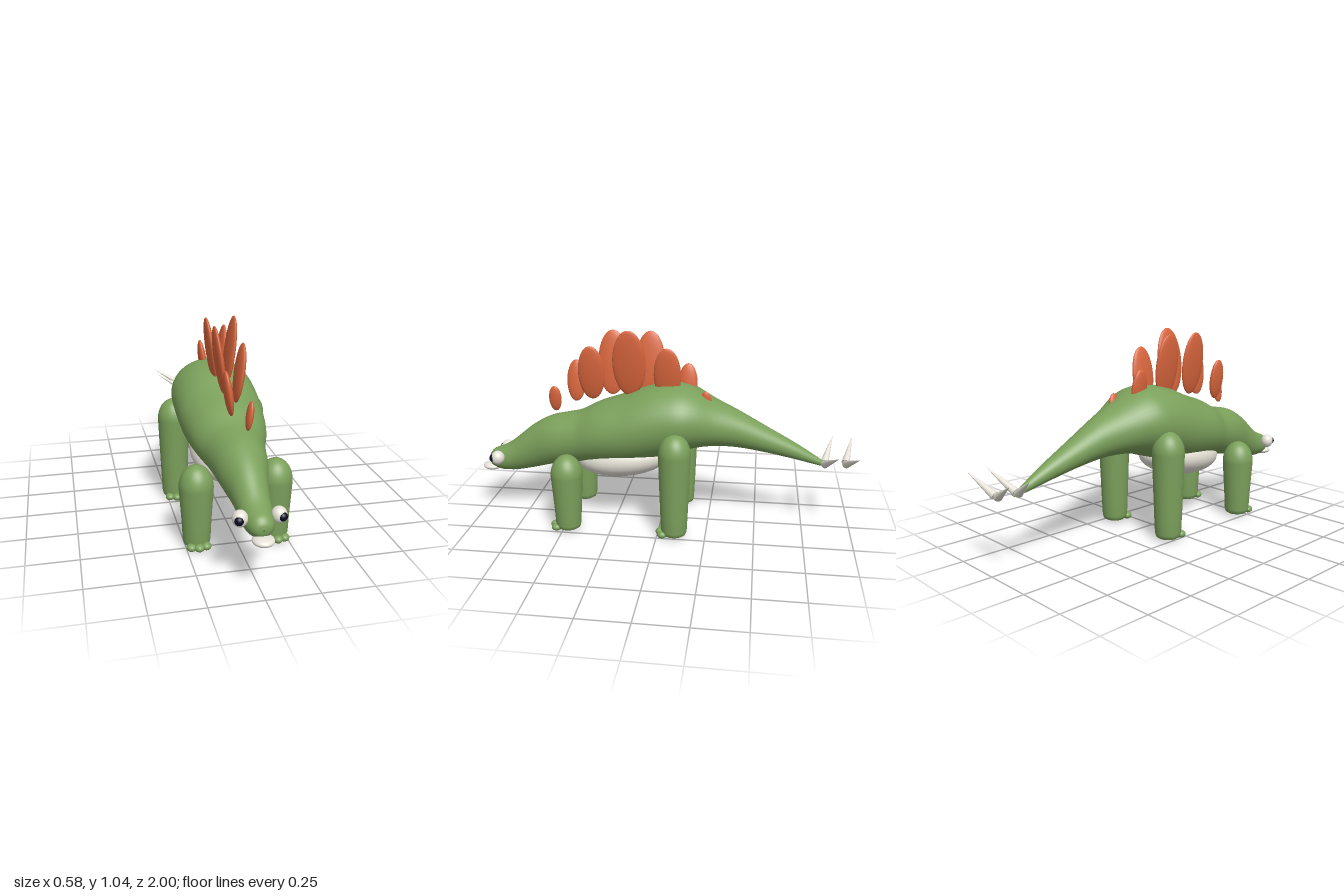
import * as THREE from 'three';

const material = (name, color, extra = {}) => {
  const m = new THREE.MeshStandardMaterial({ color, ...extra });
  m.name = name;
  return m;
};

export function createModel() {
  const green = material('green skin', 0x7ba05b);
  const orange = material('orange plates', 0xd9663d);
  const ivory = material('ivory', 0xe6e2d8);
  const black = material('pupil black', 0x0a0a22);
  const model = new THREE.Group();
  model.name = 'platedDinosaur';

  const add = (name, geometry, mat, parent = model) => {
    const mesh = new THREE.Mesh(geometry, mat);
    mesh.name = name;
    parent.add(mesh);
    return mesh;
  };
  const ellipsoid = (name, mat, [x, y, z], [rx, ry, rz], parent = model) => {
    const mesh = add(name, new THREE.SphereGeometry(1, 32, 20), mat, parent);
    mesh.position.set(x, y, z);
    mesh.scale.set(rx, ry, rz);
    return mesh;
  };

  // Body from snout to tail tip: z, top, bottom, half width
  const stations = [
    [0.953, 0.31, 0.3, 0.004], [0.947, 0.333, 0.275, 0.032], [0.925, 0.357, 0.255, 0.053],
    [0.885, 0.373, 0.242, 0.067], [0.84, 0.395, 0.24, 0.073], [0.79, 0.432, 0.244, 0.077],
    [0.7, 0.505, 0.263, 0.092], [0.6, 0.56, 0.29, 0.12], [0.5, 0.583, 0.308, 0.138],
    [0.43, 0.6, 0.318, 0.153], [0.33, 0.65, 0.328, 0.187], [0.2, 0.695, 0.338, 0.209],
    [0.1, 0.737, 0.352, 0.216], [0, 0.762, 0.375, 0.218], [-0.1, 0.766, 0.405, 0.213],
    [-0.18, 0.742, 0.43, 0.187], [-0.28, 0.686, 0.441, 0.138], [-0.4, 0.628, 0.436, 0.098],
    [-0.55, 0.546, 0.412, 0.067], [-0.7, 0.464, 0.38, 0.041], [-0.82, 0.39, 0.352, 0.018],
    [-0.87, 0.356, 0.345, 0.002],
  ];
  const widths = new THREE.CatmullRomCurve3(
    stations.map(([z, t, b, w]) => new THREE.Vector3(w, (t + b) / 2, z)), false, 'catmullrom');
  const heights = new THREE.CatmullRomCurve3(
    stations.map(([z, t, b]) => new THREE.Vector3((t - b) / 2, 0, z)), false, 'catmullrom');
  const rings = 84, sides = 40, points = [], faces = [];
  for (let i = 0; i <= rings; i++) {
    const p = widths.getPoint(i / rings), h = heights.getPoint(i / rings).x;
    for (let j = 0; j < sides; j++) {
      const a = (j / sides) * Math.PI * 2;
      points.push(p.x * Math.cos(a), p.y + h * Math.sin(a), p.z);
      if (i === rings) continue;
      const k = (j + 1) % sides, q = i * sides;
      faces.push(q + j, q + sides + j, q + k, q + k, q + sides + j, q + sides + k);
    }
  }
  const bodyGeometry = new THREE.BufferGeometry();
  bodyGeometry.setAttribute('position', new THREE.Float32BufferAttribute(points, 3));
  bodyGeometry.setIndex(faces);
  bodyGeometry.computeVertexNormals();
  add('body', bodyGeometry, green);

  // Pale belly and beak
  ellipsoid('belly', ivory, [0, 0.36, 0.2], [0.168, 0.108, 0.26]).rotation.x = 0.13;
  ellipsoid('beak', ivory, [0, 0.256, 0.945], [0.049, 0.021, 0.052]);

  // Eyes
  for (const s of [1, -1]) {
    ellipsoid('eye', ivory, [s * 0.086, 0.336, 0.882], [0.035, 0.038, 0.036]);
    ellipsoid('pupil', black, [s * 0.095, 0.336, 0.905], [0.021, 0.021, 0.02]);
  }

  // Legs: rounded, tapering columns with three small toes
  const leg = (name, x, z, height) => {
    const group = new THREE.Group();
    group.name = name;
    group.position.set(x, 0, z);
    const profile = [[0, 0.006], [0.05, 0.008], [0.062, 0.016], [0.067, 0.035], [0.071, 0.12]];
    for (let i = 0; i <= 10; i++) {
      const a = (i / 10) * Math.PI / 2;
      profile.push([0.083 * Math.cos(a), height - 0.11 + 0.11 * Math.sin(a)]);
    }
    add('legColumn', new THREE.LatheGeometry(profile.map(([r, y]) =>
      new THREE.Vector2(Math.max(r, 0), y)), 32), green, group);
    for (const t of [-1, 0, 1])
      ellipsoid('toe', green, [t * 0.036, 0.019, 0.07 - Math.abs(t) * 0.012],
        [0.024, 0.019, 0.026], group);
    model.add(group);
  };
  for (const s of [1, -1]) {
    leg('frontLeg', s * 0.194, 0.475, 0.416);
    leg('hindLeg', s * 0.206, -0.088, 0.56);
  }

  // Back plates: alternating sides, largest in the middle
  const plates = [[0.67, 0.07, 0.033], [0.75, 0.11, 0.05], [0.815, 0.145, 0.07],
    [0.855, 0.168, 0.077], [0.87, 0.176, 0.086]];
  for (let i = 0; i < 9; i++) {
    const [y, ry, rz] = plates[4 - Math.abs(i - 4)];
    const s = i % 2 ? -1 : 1;
    ellipsoid('backPlate', orange, [s * 0.038, y, 0.56 - i * 0.0985],
      [0.016 + (ry > 0.1 ? 0.004 : 0), ry, rz]).rotation.z = -s * 0.13;
  }

  // Tail spikes: two pairs pointing up and outward
  const up = new THREE.Vector3(0, 1, 0);
  for (const s of [1, -1]) for (const [y, z, tipZ] of [[0.362, -0.849, -0.899], [0.368, -0.957, -1]]) {
    const base = new THREE.Vector3(s * 0.012, y, z);
    const tip = new THREE.Vector3(s * 0.175, 0.458, tipZ);
    const axis = tip.clone().sub(base);
    const spike = add('tailSpike', new THREE.ConeGeometry(0.021, axis.length(), 20), ivory);
    spike.position.copy(base).add(tip).multiplyScalar(0.5);
    spike.quaternion.setFromUnitVectors(up, axis.normalize());
  }
  return model;
}
